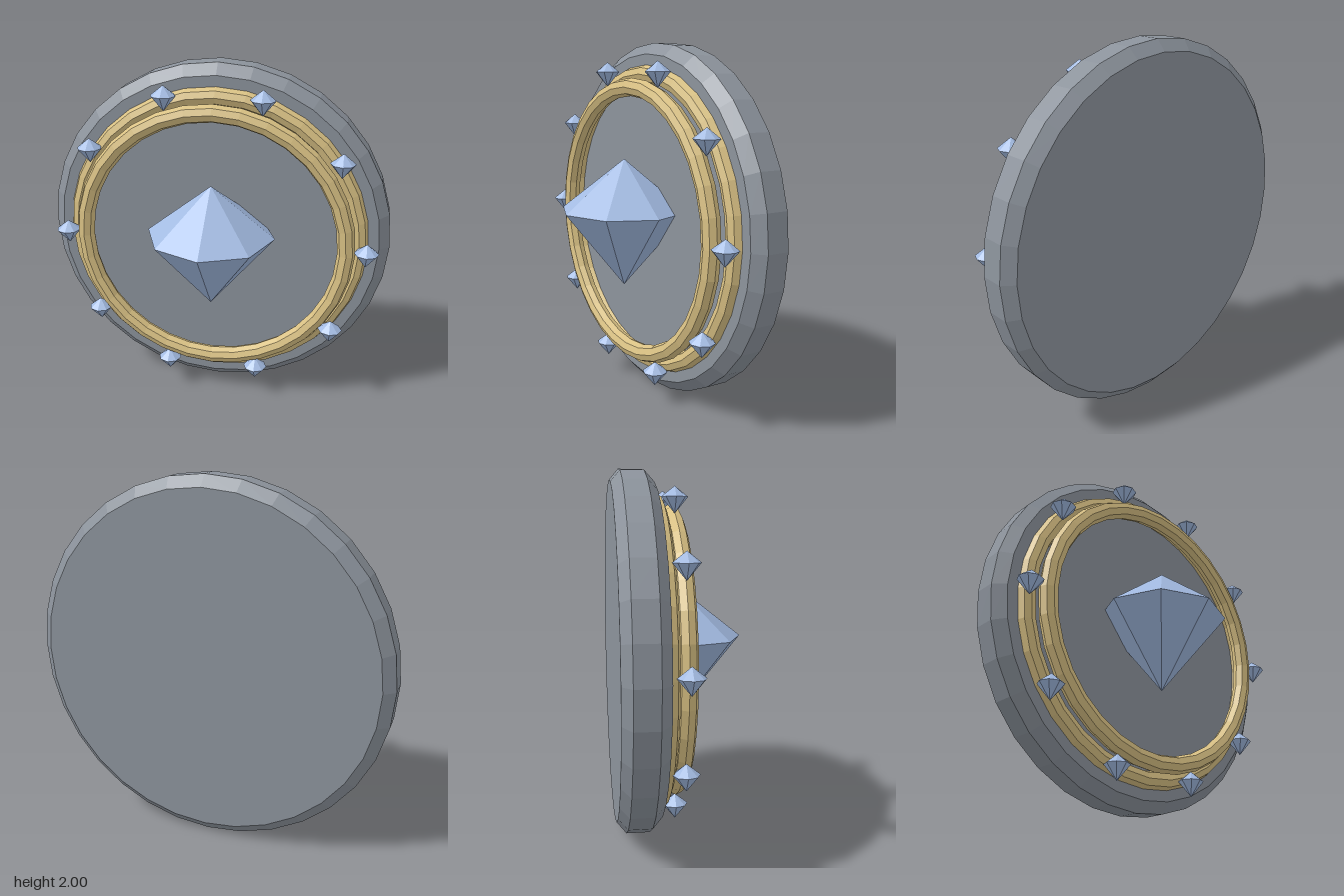
import * as THREE from 'three';

const stone = new THREE.MeshStandardMaterial({ color: 0x8c939c });
stone.name = 'stone grey';
const gold = new THREE.MeshStandardMaterial({ color: 0xd9c184 });
gold.name = 'pale gold';
const crystal = new THREE.MeshStandardMaterial({ color: 0xa3bbe2 });
crystal.name = 'crystal blue';

const SIDES = 32;

// Gives every face its own normal for a faceted look
function faceted(geometry) {
  const g = geometry.toNonIndexed();
  g.computeVertexNormals();
  return g;
}

function addMesh(parent, name, geometry, material, x, y, z) {
  const mesh = new THREE.Mesh(faceted(geometry), material);
  mesh.name = name;
  mesh.position.set(x, y, z);
  parent.add(mesh);
  return mesh;
}

function lathe(profile, sides) {
  return new THREE.LatheGeometry(profile.map(([r, h]) => new THREE.Vector2(r, h)), sides);
}

// Eight-sided cut gem: long point below the girdle, short crown above
function gem(s) {
  return lathe([[0, -s], [s, 0.21 * s], [0, s]], 8);
}

export function createModel() {
  const model = new THREE.Group();
  model.name = 'gemDisc';

  // Bevelled round plate, turned so that its axis runs along z
  const plate = lathe(
    [[0, -0.37], [0.94, -0.37], [1, -0.32], [1, -0.195], [0.94, -0.14], [0, -0.14]], SIDES);
  plate.rotateX(Math.PI / 2);
  addMesh(model, 'plate', plate, stone, 0, 1, 0);

  // Two gold rings, the outer one sunk halfway into the plate
  addMesh(model, 'outerRing', new THREE.TorusGeometry(0.83, 0.05, 8, SIDES), gold, 0, 1, -0.14);
  addMesh(model, 'innerRing', new THREE.TorusGeometry(0.76, 0.05, 8, SIDES), gold, 0, 1, -0.045);

  // Large gem in the middle
  addMesh(model, 'centreGem', gem(0.365), crystal, 0, 1, 0);

  // Ten small upright gems around the rim
  const smallGems = new THREE.Group();
  smallGems.name = 'smallGems';
  for (let i = 0; i < 10; i++) {
    const a = (i / 10) * Math.PI * 2;
    addMesh(smallGems, 'smallGem', gem(0.07), crystal,
      0.87 * Math.cos(a), 1 + 0.87 * Math.sin(a), -0.045);
  }
  model.add(smallGems);

  return model;
}
